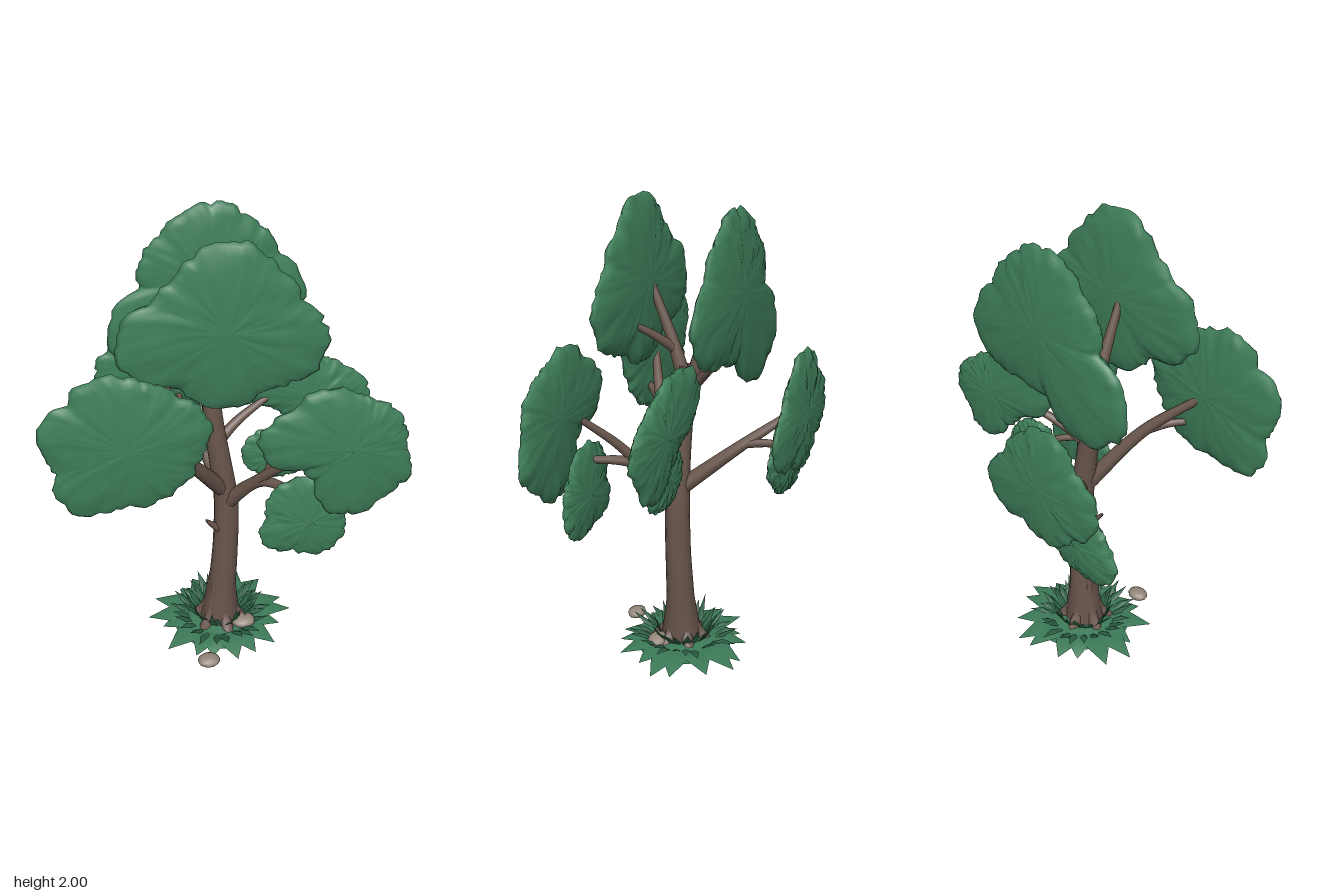
import * as THREE from 'three';

let seed = 7;
const rand = () => {
  seed = (seed * 16807) % 2147483647;
  return seed / 2147483647;
};
const jitter = (a) => (rand() * 2 - 1) * a;

// Distance from the first lobe's centre to the outer edge of the merged round lobes, at one angle.
function rimRadius(lobes, angle) {
  const [[cx, cy]] = lobes, dx = Math.cos(angle), dy = Math.sin(angle);
  return Math.max(...lobes.map(([x, y, r]) => {
    const along = (x - cx) * dx + (y - cy) * dy;
    const across = (x - cx) * dy - (y - cy) * dx;
    return Math.abs(across) < r ? along + Math.sqrt(r * r - across * across) : 0;
  }));
}

// Flat leafy cushion: round lobes merged into one ragged rim, swept through a thin lens.
function canopyGeometry(lobes, z, half) {
  const n = 96, rings = 12, pos = [], index = [];
  const [[cx, cy]] = lobes;
  const rim = [];
  for (let i = 0; i < n; i++) {
    const ragged = 0.975 + 0.04 * Math.abs(Math.sin(i * Math.PI / 6)) + jitter(0.022);
    rim.push(rimRadius(lobes, (i / n) * Math.PI * 2) * ragged);
  }
  for (let k = 0; k <= rings; k++) {
    const a = (k / rings) * Math.PI, t = Math.sin(a);
    for (let i = 0; i < n; i++) {
      const angle = (i / n) * Math.PI * 2;
      const bump = t * (jitter(0.004) + 0.004 * Math.sin(i * Math.PI / 6 + k * 2));
      pos.push(cx + rim[i] * t * Math.cos(angle), cy + rim[i] * t * Math.sin(angle), z + half * Math.cos(a) + bump);
    }
  }
  for (let k = 0; k < rings; k++) {
    for (let i = 0; i < n; i++) {
      const j = (i + 1) % n, a = k * n, b = a + n;
      index.push(a + i, b + i, b + j, a + i, b + j, a + j);
    }
  }
  const g = new THREE.BufferGeometry();
  g.setAttribute('position', new THREE.Float32BufferAttribute(pos, 3));
  g.setIndex(index);
  g.computeVertexNormals();
  return g;
}

// Tube along points whose radius follows a list of values.
function limbGeometry(points, radii, sides = 9) {
  const curve = new THREE.CatmullRomCurve3(points.map((p) => new THREE.Vector3(...p)));
  const segs = points.length * 5;
  const g = new THREE.TubeGeometry(curve, segs, 1, sides);
  const pos = g.attributes.position, v = new THREE.Vector3();
  for (let i = 0; i <= segs; i++) {
    const center = curve.getPointAt(i / segs);
    const f = (i / segs) * (radii.length - 1), k = Math.min(Math.floor(f), radii.length - 2);
    const r = THREE.MathUtils.lerp(radii[k], radii[k + 1], f - k);
    for (let j = 0; j <= sides; j++) {
      const id = i * (sides + 1) + j;
      v.fromBufferAttribute(pos, id).sub(center).multiplyScalar(r).add(center);
      pos.setXYZ(id, v.x, v.y, v.z);
    }
  }
  return g;
}

// Folded pointed leaf running out along +x.
function leafGeometry(length, width, rise, tip) {
  const g = new THREE.BufferGeometry();
  const w = width / 2, m = length * 0.5;
  g.setAttribute('position', new THREE.Float32BufferAttribute(
    [0, 0, w * 0.6, 0, 0, -w * 0.6, m, rise - 0.012, w, m, rise, 0, m, rise - 0.012, -w, length, tip, 0], 3));
  g.setIndex([0, 2, 3, 0, 3, 1, 1, 3, 4, 2, 5, 3, 3, 5, 4]);
  g.computeVertexNormals();
  return g;
}

export function createModel() {
  seed = 7;
  const tree = new THREE.Group();
  tree.name = 'tree';
  const mat = (name, color, side = THREE.FrontSide) => {
    const m = new THREE.MeshStandardMaterial({ color, side });
    m.name = name;
    return m;
  };
  const foliage = mat('leaf green', 0x3f7f5a);
  const groundGreen = mat('undergrowth green', 0x3c7a57, THREE.DoubleSide);
  const grassGreen = mat('dark grass green', 0x2c6044, THREE.DoubleSide);
  const bark = mat('bark brown', 0x6a574d, THREE.DoubleSide);
  const stone = mat('stone tan', 0x94877a);
  const add = (name, geometry, material) => {
    const m = new THREE.Mesh(geometry, material);
    m.name = name;
    tree.add(m);
    return m;
  };

  // Foliage cushions, all standing parallel to the front; each lobe is x, y, radius
  const canopy = (name, z, half, ...lobes) => add(name, canopyGeometry(lobes, z, half), foliage);
  canopy('topFrontCanopy', 0.24, 0.046, [0, 1.65, 0.3], [0, 1.8, 0.2], [0.2, 1.57, 0.19], [-0.23, 1.6, 0.19], [0, 1.5, 0.2]);
  canopy('topBackCanopy', -0.18, 0.045, [0, 1.64, 0.3], [0, 1.77, 0.2], [0.2, 1.56, 0.19], [-0.22, 1.42, 0.21]);
  canopy('frontRightCanopy', 0.385, 0.042,
    [-0.4, 1.26, 0.29], [-0.45, 1.4, 0.18], [-0.57, 1.32, 0.16], [-0.25, 1.3, 0.17], [-0.54, 1.1, 0.15]);
  canopy('frontLeftCanopy', 0.385, 0.042,
    [0.47, 1.18, 0.22], [0.38, 1.27, 0.18], [0.24, 1.22, 0.14], [0.58, 1.05, 0.14], [0.48, 0.98, 0.15]);
  canopy('frontLeftLowerCanopy', 0.35, 0.032, [0.32, 0.8, 0.16], [0.29, 0.87, 0.15], [0.35, 0.74, 0.13], [0.23, 0.75, 0.11]);
  canopy('leftCanopy', -0.06, 0.038,
    [0.42, 1.15, 0.17], [0.32, 1.22, 0.16], [0.22, 1.24, 0.14], [0.52, 1.12, 0.14], [0.48, 1.03, 0.13]);
  canopy('leftLowerCanopy', 0.01, 0.025, [0.25, 0.9, 0.13], [0.22, 0.91, 0.12], [0.31, 0.88, 0.1]);
  canopy('backCanopy', -0.4, 0.034,
    [-0.2, 1.12, 0.22], [-0.22, 1.22, 0.16], [-0.33, 1.1, 0.16], [-0.04, 1.04, 0.14], [-0.22, 1, 0.15]);
  canopy('backLowerCanopy', -0.3, 0.032, [-0.3, 0.85, 0.16], [-0.3, 0.88, 0.14], [-0.38, 0.8, 0.12], [-0.2, 0.86, 0.1]);

  // Trunk with flared roots
  add('trunk', limbGeometry([[0, 0.015, 0.06], [0.01, 0.2, 0.06], [0.025, 0.5, 0.065], [0.025, 0.72, 0.065], [0, 0.92, 0.065],
    [-0.025, 1.1, 0.06], [-0.04, 1.3, 0.05]], [0.095, 0.062, 0.056, 0.054, 0.048, 0.043, 0.035], 14), bark);
  const base = add('trunkBase', new THREE.CircleGeometry(0.1, 20), bark);
  base.rotation.x = Math.PI / 2;
  base.position.set(0, 0.013, 0.06);
  for (let i = 0; i < 6; i++) {
    const a = i * Math.PI / 3 + 0.3, c = Math.cos(a), s = Math.sin(a);
    add('root', limbGeometry([[0.11 * c, 0.02, 0.06 + 0.11 * s], [0.06 * c, 0.09, 0.06 + 0.06 * s],
      [0.01 + 0.04 * c, 0.3, 0.06 + 0.04 * s]], [0.028, 0.024, 0.014], 7), bark);
  }

  // Branches: start and end radius, then the path
  const branch = (name, r0, r1, ...path) => add(name, limbGeometry(path, [r0, r1]), bark);
  branch('frontRightBranch', 0.038, 0.016, [0.01, 0.78, 0.07], [-0.17, 1.06, 0.24], [-0.37, 1.25, 0.37]);
  branch('frontRightTwig', 0.022, 0.014, [-0.17, 1.06, 0.24], [-0.24, 1.09, 0.31], [-0.3, 1.1, 0.37]);
  branch('frontLeftBranch', 0.036, 0.015, [0.02, 0.7, 0.07], [0.15, 0.9, 0.2], [0.27, 0.94, 0.35]);
  branch('frontLeftTwig', 0.024, 0.014, [0.12, 0.87, 0.17], [0.2, 1, 0.26], [0.31, 1.13, 0.37]);
  branch('leftLowerTwig', 0.018, 0.012, [0.15, 0.9, 0.2], [0.2, 0.91, 0.12], [0.23, 0.92, 0.01]);
  branch('leftBranch', 0.026, 0.014, [-0.02, 1, 0.06], [0.08, 1.08, 0.01], [0.22, 1.15, -0.05]);
  branch('backBranch', 0.036, 0.014, [0.01, 0.78, 0.04], [-0.1, 0.97, -0.19], [-0.25, 1.12, -0.39]);
  branch('backTwig', 0.021, 0.013, [-0.1, 0.97, -0.19], [-0.12, 0.98, -0.29], [-0.12, 0.98, -0.39]);
  branch('topFrontBranch', 0.034, 0.015, [-0.035, 1.2, 0.05], [-0.04, 1.38, 0.11], [-0.04, 1.65, 0.22]);
  branch('topFrontTwig', 0.022, 0.013, [-0.04, 1.36, 0.1], [0.03, 1.43, 0.16], [0.1, 1.49, 0.23]);
  branch('topBackBranch', 0.034, 0.015, [-0.035, 1.12, 0.05], [-0.06, 1.4, -0.02], [-0.11, 1.61, -0.17]);
  branch('topBackTwig', 0.024, 0.013, [-0.03, 1.2, 0.03], [0.02, 1.29, -0.06], [0.08, 1.41, -0.17]);
  branch('brokenStub', 0.026, 0.006, [0.02, 0.55, 0.08], [-0.03, 0.595, 0.09], [-0.065, 0.635, 0.1]);

  // Leafy mat at the foot, with broad drooping leaves and upright blades
  const mound = add('groundMat', new THREE.CylinderGeometry(0.1, 0.22, 0.025, 18), groundGreen);
  mound.position.set(0, 0.03, 0.05);
  const ringOfLeaves = (name, count, start, make, material) => {
    for (let i = 0; i < count; i++) {
      const a = (i + jitter(0.35)) / count * Math.PI * 2;
      const leaf = add(name, make(), material);
      leaf.position.set(Math.cos(a) * start, 0.025, 0.05 - Math.sin(a) * start);
      leaf.rotation.y = a;
    }
  };
  ringOfLeaves('groundLeaf', 17, 0.1, () => leafGeometry(0.16 + rand() * 0.08, 0.11, 0.02, -0.02 + rand() * 0.01), groundGreen);
  ringOfLeaves('lowBlade', 24, 0.13, () => leafGeometry(0.08 + rand() * 0.06, 0.035, 0.04, 0.03 + rand() * 0.04), grassGreen);
  ringOfLeaves('tallBlade', 22, 0.09, () => leafGeometry(0.04 + rand() * 0.06, 0.035, 0.06, 0.08 + rand() * 0.07), grassGreen);

  // Stones
  for (const [x, y, z, r] of [[-0.09, 0.032, 0.34, 0.045], [0.1, 0.045, 0.13, 0.05]]) {
    const rock = add('stone', new THREE.DodecahedronGeometry(r, 1), stone);
    rock.position.set(x, y, z);
    rock.scale.set(1.1, 0.55, 0.9);
  }
  return tree;
}
